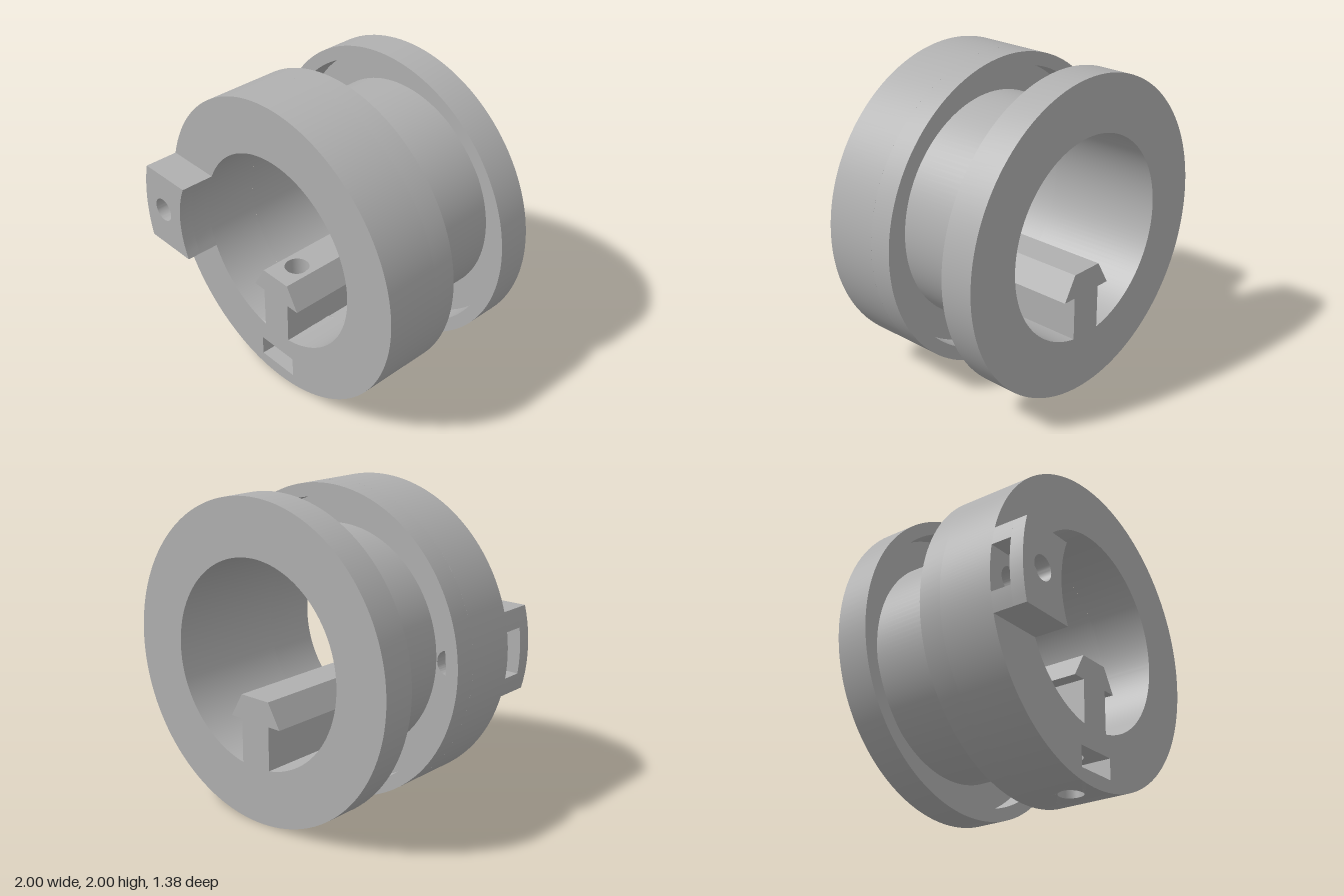
import * as THREE from 'three';
import { toCreasedNormals } from 'three/addons/utils/BufferGeometryUtils.js';

// All coordinates are relative to the ring axis, which runs along z.
const R = 1, BORE = 0.645, NECK = 0.735, RIM = 0.915;
const FRONT = 0.465, BACK = -0.69, FLOOR = 0.105, TAB = 0.69;
const HOLE = 0.078, NUT = 0.147, NUT_R = 0.168; // screw hole, nut half width and corner radius
const GAP = 0.16; // half width of the block holding the lower screw
const SCREW_Z = 0.285, SCREW_X = -0.82;

export function createModel() {
  const model = new THREE.Group();
  const body = new THREE.Group();
  body.name = 'slottedCollar';
  body.position.y = 1;
  model.add(body);
  const grey = new THREE.MeshStandardMaterial({ color: 0xb0b0b0 });
  grey.name = 'grey';

  const add = (name, geometry) => {
    const mesh = new THREE.Mesh(toCreasedNormals(geometry, 0.4), grey);
    mesh.name = name;
    body.add(mesh);
  };
  const polygon = (pts) => new THREE.Shape(pts.map(([x, y]) => new THREE.Vector2(x, y)));
  const drill = (shape, x, y) => {
    shape.holes.push(new THREE.Path().absarc(x, y, HOLE, 0, Math.PI * 2, true));
    return shape;
  };
  const extrude = (shape, depth, curveSegments = 24) =>
    new THREE.ExtrudeGeometry(shape, { depth, bevelEnabled: false, curveSegments });
  // Extrudes along z between two depths
  const alongZ = (shape, z0, z1, segments) => extrude(shape, z1 - z0, segments).translate(0, 0, z0);
  // Extrudes along y; the shape is drawn as (x, -z)
  const alongY = (shape, y0, y1) => extrude(shape, y1 - y0).rotateX(-Math.PI / 2).translate(0, y0, 0);
  // Moves the vertices of one cap by a rule
  const moveCap = (geometry, y, rule) => {
    const p = geometry.attributes.position;
    for (let i = 0; i < p.count; i++) if (Math.abs(p.getY(i) - y) < 1e-4) rule(p, i);
    return geometry;
  };
  // Turned section: profile of [radius, z] points
  const turned = (profile) => new THREE.LatheGeometry(
    profile.map(([r, z]) => new THREE.Vector2(r, z)), 128).rotateX(Math.PI / 2);

  // Neck with the rear flange, which has an annular recess
  add('neckAndRearFlange', turned([
    [BORE, FLOOR], [BORE, BACK], [R, BACK], [R, -0.47], [RIM, -0.47],
    [RIM, -0.63], [NECK, -0.63], [NECK, FLOOR],
  ]));
  // Lip around the recess behind the front flange
  add('frontFlangeLip', turned([[RIM, FLOOR], [RIM, -0.045], [R, -0.045], [R, FLOOR]]));

  // Front flange, open at the bottom for the screw block
  const a = Math.asin(GAP / R), b = Math.asin(GAP / BORE), down = -Math.PI / 2, round = Math.PI * 1.5;
  const flange = new THREE.Shape();
  flange.absarc(0, 0, R, down + a, round - a, false);
  flange.absarc(0, 0, BORE, round - b, down + b, true);
  flange.closePath();
  add('frontFlange', alongZ(drill(flange, SCREW_X, 0), FLOOR, FRONT, 128));

  // Screw block: lower layer, nut slot layer and upper layer
  const blockOutline = () => {
    const pts = [], n = 12;
    for (let i = 0; i <= n; i++) pts.push([-GAP + 2 * GAP * i / n, -FRONT]);
    for (let i = n; i >= 0; i--) pts.push([-GAP + 2 * GAP * i / n, -FLOOR]);
    return drill(polygon(pts), 0, -SCREW_Z);
  };
  const bend = (r) => (p, i) => p.setY(i, -Math.sqrt(r * r - p.getX(i) ** 2));
  const slotLow = -0.91, slotHigh = -0.775;
  add('screwBlockBase', moveCap(alongY(blockOutline(), -1, slotLow), -1, bend(R)));
  const flat = SCREW_Z - NUT_R / 2;
  add('screwBlockNutSlot', alongY(polygon([
    [-GAP, -FRONT], [-NUT, -FRONT], [-NUT, -flat], [0, -(SCREW_Z - NUT_R)], [NUT, -flat],
    [NUT, -FRONT], [GAP, -FRONT], [GAP, -FLOOR], [-GAP, -FLOOR],
  ]), slotLow, slotHigh));
  add('screwBlockTop', moveCap(alongY(blockOutline(), slotHigh, -BORE), -BORE, bend(BORE)));

  // T-shaped key: plain rear length
  const stem = 0.11, head = 0.2, headY = -0.355, topY = -0.2;
  add('keyRear', alongZ(polygon([
    [-stem, -0.66], [stem, -0.66], [stem, headY], [head, headY],
    [stem, topY], [-stem, topY], [-head, headY], [-stem, headY],
  ]), BACK, FLOOR));
  // Front length of the key, drilled for the screw
  const keyOutline = (w) => drill(polygon(
    [[-w, -FRONT], [w, -FRONT], [w, -FLOOR], [-w, -FLOOR]]), 0, -SCREW_Z);
  add('keyStem', alongY(keyOutline(stem), -BORE, headY));
  add('keyHead', moveCap(alongY(keyOutline(head), headY, topY), topY, (p, i) => {
    if (Math.abs(p.getX(i)) > 0.15) p.setX(i, Math.sign(p.getX(i)) * stem);
  }));

  // Side tab: points on an arc left of the axis between two heights
  const arc = (r, y0, y1, n = 12) => Array.from({ length: n + 1 }, (_, i) => {
    const y = y0 + (y1 - y0) * i / n;
    return [-Math.sqrt(r * r - y * y), y];
  });
  const half = 0.267, slotTop = 0.6;
  const inner = arc(BORE, -half, half);
  add('tabFront', alongZ(drill(polygon([...inner, ...arc(R, half, -half)]), SCREW_X, 0), slotTop, TAB));
  // Nut slot layer, open to the outside
  add('tabNutSlot', alongZ(polygon([
    ...inner, ...arc(R, half, NUT, 5),
    [SCREW_X + NUT_R / 2, NUT], [SCREW_X + NUT_R, 0], [SCREW_X + NUT_R / 2, -NUT],
    ...arc(R, -NUT, -half, 5),
  ]), FRONT, slotTop));

  return model;
}
